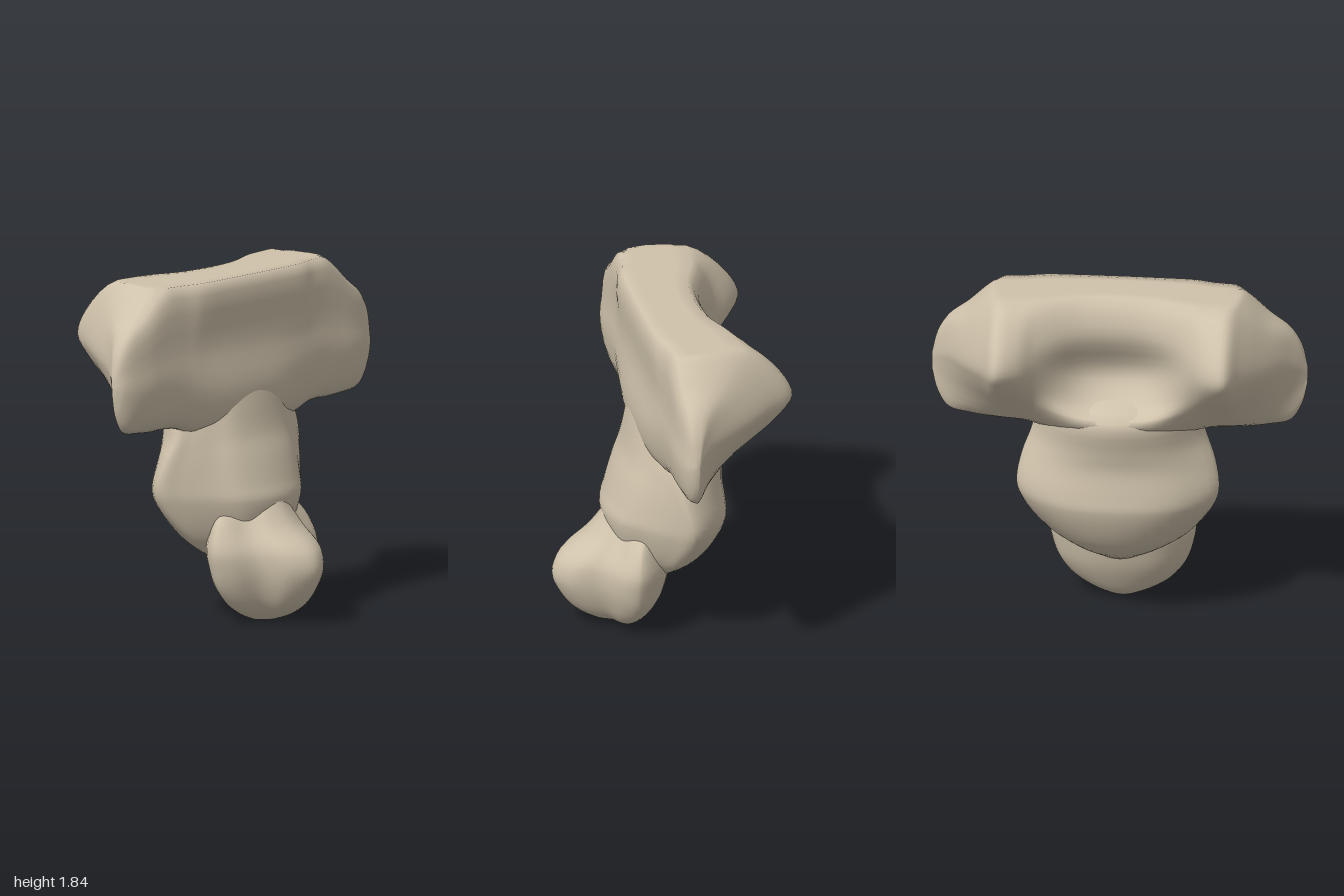
import * as THREE from 'three';

const clay = new THREE.MeshStandardMaterial({ color: 0xcfc2ab });
clay.name = 'warm beige';

const { lerp, clamp } = THREE.MathUtils;
const TOP = 1.84;

// Smooth closed skin through a list of rings (each the same number of points)
function loft(name, rings, perSpan, perEdge) {
  const steps = (rings.length - 1) * perSpan;
  const cols = rings[0].length * perEdge;
  const rails = rings[0].map((_, j) => new THREE.CatmullRomCurve3(rings.map(r => r[j])));
  const pos = [], index = [], ends = [];
  for (let i = 0; i <= steps; i++) {
    const ring = new THREE.CatmullRomCurve3(rails.map(c => c.getPoint(i / steps)), true);
    const centre = new THREE.Vector3();
    for (let j = 0; j < cols; j++) {
      const p = ring.getPoint(j / cols);
      p.y = clamp(p.y, 0, TOP);
      pos.push(p.x, p.y, p.z);
      centre.addScaledVector(p, 1 / cols);
    }
    if (i === 0 || i === steps) ends.push(centre);
  }
  ends.forEach(c => pos.push(c.x, c.y, c.z));
  const first = (steps + 1) * cols, last = first + 1;
  for (let j = 0; j < cols; j++) {
    const k = (j + 1) % cols;
    for (let i = 0; i < steps; i++) {
      const a = i * cols + j, b = i * cols + k;
      index.push(a, b, a + cols, b, b + cols, a + cols);
    }
    index.push(first, k, j, last, steps * cols + j, steps * cols + k);
  }
  const geo = new THREE.BufferGeometry();
  geo.setAttribute('position', new THREE.Float32BufferAttribute(pos, 3));
  geo.setIndex(index);
  geo.computeVertexNormals();
  const mesh = new THREE.Mesh(geo, clay);
  mesh.name = name;
  return mesh;
}

// Symmetric level ring; face lists front contour points as fractions of
// the half width and of the depth from the side to the front
function levelRing([y, front, width, side, back], face) {
  const half = [
    ...face.map(([fx, fz]) => [fx * width, lerp(side, front, fz)]),
    [width, side],
    [width * 0.62, lerp(back, side, 0.25)],
  ];
  const v = ([x, z]) => new THREE.Vector3(x, y, z);
  const mirrored = half.map(([x, z]) => [-x, z]).reverse();
  return [[0, front], ...half, [0, back], ...mirrored].map(v);
}

// Upright yoke sections as [z, y], from top front down and round the back
const middle = [[.11, 1.84], [.12, 1.5], [.155, 1.22], [.1, 1.05], [-.2, 1.03],
  [-.36, 1.17], [-.24, 1.25], [-.15, 1.4], [-.26, 1.65], [-.19, 1.84]];
const shoulder = [[.1, 1.84], [.11, 1.5], [.125, 1.25], [.05, 1.04], [-.13, 1.07],
  [-.32, 1.24], [-.38, 1.36], [-.41, 1.5], [-.39, 1.65], [-.28, 1.84]];
const wing = [[.06, 1.84], [.1, 1.5], [.11, 1.3], [.06, 1.1], [-.05, 1.07],
  [-.3, 1.25], [-.5, 1.41], [-.58, 1.52], [-.52, 1.66], [-.3, 1.84]];

// Wing taper: x, then how much of the back, front, top and bottom remains
const taper = [
  [.69, .8, 1, .9, 1],
  [.8, .5, 1, .7, .97],
  [.91, .2, .85, .53, .9],
  [.97, .07, .6, .34, .58],
  [1, .01, .25, .1, .15],
];

function yokeRings() {
  const ring = (x, pts) => pts.map(([z, y]) => new THREE.Vector3(x, y, z));
  const blend = (a, b, t) => a.map(([z, y], i) => [lerp(z, b[i][0], t), lerp(y, b[i][1], t)]);
  const tipZ = 0.02, tipY = 1.35;
  const half = [
    ring(.2, blend(middle, shoulder, 0.2)),
    ring(.4, shoulder),
    ring(.5, blend(shoulder, wing, 0.68)),
    ring(.61, wing),
  ];
  for (const [x, back, front, top, bottom] of taper) {
    half.push(ring(x, wing.map(([z, y]) => [
      tipZ + (z - tipZ) * (z < tipZ ? back : front),
      tipY + (y - tipY) * (y > tipY ? top : bottom),
    ])));
  }
  const mirrored = half.map(r => r.map(p => new THREE.Vector3(-p.x, p.y, p.z))).reverse();
  return [...mirrored, ring(0, middle), ...half];
}

// Level sections: y, front z, half width, side z, back z
const trunkRows = [
  [.27, .15, .1, .06, -.02],
  [.36, .2, .26, .01, -.17],
  [.46, .26, .39, -.02, -.26],
  [.65, .31, .52, -.08, -.34],
  [.74, .285, .54, -.08, -.335],
  [.88, .24, .515, -.04, -.32],
  [1, .195, .47, -.01, -.34],
  [1.18, .162, .42, -.04, -.365],
  [1.32, .135, .36, -.02, -.1],
];
const trunkFace = [[.4, .88], [.64, .6], [.86, .3]];

const headRows = [
  [0, .27, .08, .2, .14],
  [.04, .38, .18, .2, .09],
  [.1, .47, .265, .19, .05],
  [.2, .545, .34, .18, 0],
  [.3, .58, .375, .18, -.03],
  [.4, .545, .39, .18, -.05],
  [.51, .4, .355, .17, -.02],
  [.61, .325, .28, .14, 0],
  [.72, .27, .18, .12, .04],
];
const headFace = [[.34, .82], [.56, .45], [.89, .22]];

export function createModel() {
  const model = new THREE.Group();
  model.name = 'carvedForm';

  // Wide yoke with swept-back wings and a hollow behind its middle
  model.add(loft('yoke', yokeRings(), 4, 4));

  // Leaning trunk with a bulging lobe on each side
  model.add(loft('trunk', trunkRows.map(r => levelRing(r, trunkFace)), 4, 5));

  // Rounded head at the foot, with a narrow snout to the front
  model.add(loft('head', headRows.map(r => levelRing(r, headFace)), 4, 5));

  return model;
}
